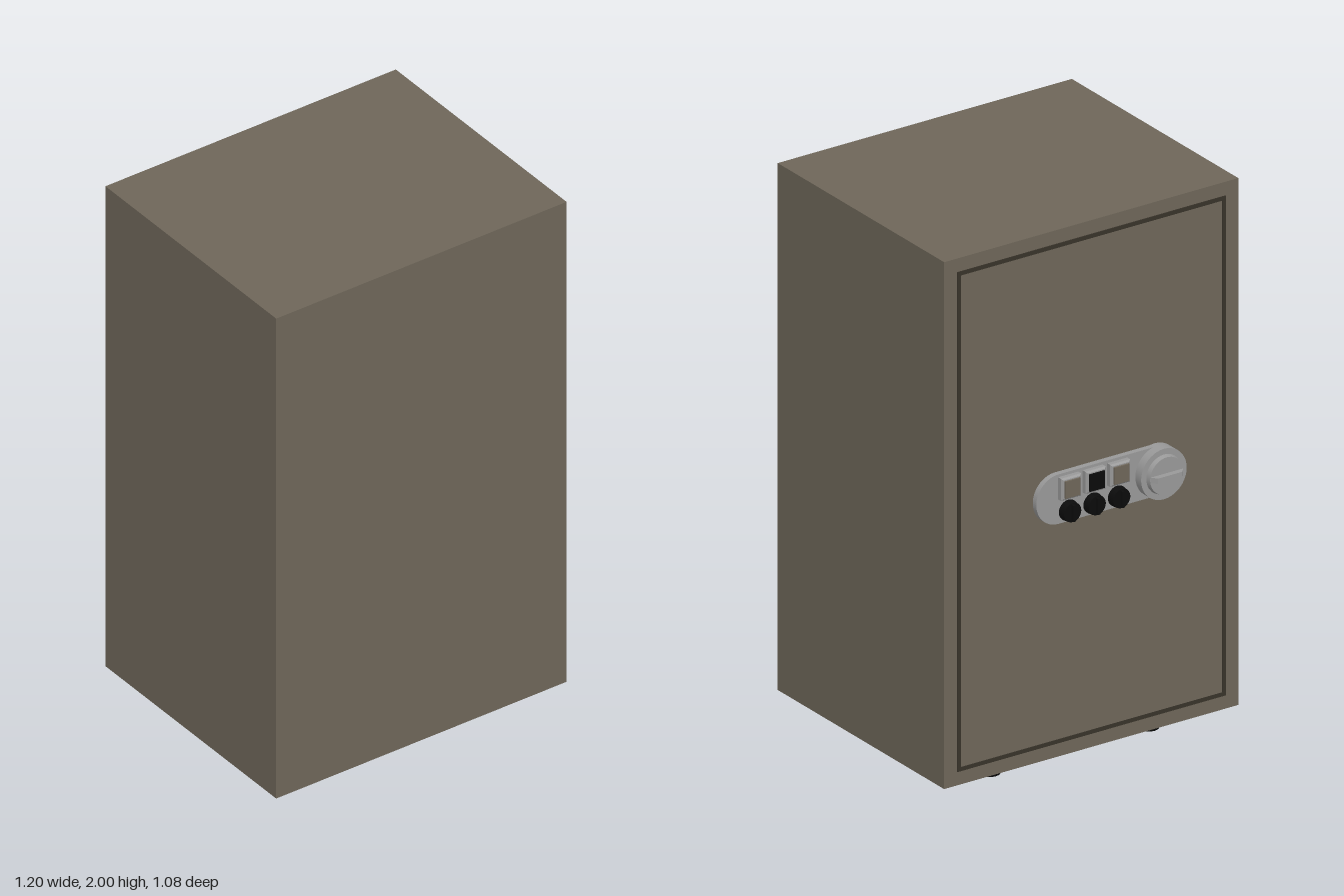
import * as THREE from 'three';

const mat = (name, color) => {
  const m = new THREE.MeshStandardMaterial({ color });
  m.name = name;
  return m;
};

// Rounded-end or rectangular outlines
function rect(w, h, Type = THREE.Shape) {
  const p = new Type();
  p.moveTo(-w / 2, -h / 2);
  p.lineTo(w / 2, -h / 2);
  p.lineTo(w / 2, h / 2);
  p.lineTo(-w / 2, h / 2);
  p.closePath();
  return p;
}
function capsule(x0, x1, r) {
  const s = new THREE.Shape();
  s.absarc(x1 - r, 0, r, -Math.PI / 2, Math.PI / 2, false);
  s.absarc(x0 + r, 0, r, Math.PI / 2, Math.PI * 1.5, false);
  s.closePath();
  return s;
}

export function createModel() {
  const model = new THREE.Group();
  model.name = 'safe';
  const paint = mat('brownPaint', 0x6e6659);
  const seam = mat('darkSeam', 0x38332a);
  const metal = mat('greyMetal', 0x999999);
  const black = mat('blackPlastic', 0x0b0b0b);

  function add(parent, name, geo, material, x = 0, y = 0, z = 0) {
    const m = new THREE.Mesh(geo, material);
    m.name = name;
    m.position.set(x, y, z);
    parent.add(m);
    return m;
  }
  const extrude = (shape, depth) =>
    new THREE.ExtrudeGeometry(shape, { depth, bevelEnabled: false, curveSegments: 20 });
  // Disc whose axis points along z, starting at z = 0
  const disc = (rBack, rFront, depth, n = 32) =>
    new THREE.CylinderGeometry(rFront, rBack, depth, n).rotateX(Math.PI / 2).translate(0, 0, depth / 2);

  // Cabinet
  add(model, 'cabinet', new THREE.BoxGeometry(1.2, 1.94, 0.98), paint, 0, 1.03, 0.047);

  // Tapered feet
  for (const x of [-0.325, 0.322]) for (const z of [-0.31, 0.33])
    add(model, 'foot', new THREE.CylinderGeometry(0.05, 0.037, 0.06, 20), black, x, 0.03, z);

  // Door side, built facing +z and turned to the rear
  const door = new THREE.Group();
  door.name = 'door';
  door.rotation.y = Math.PI;
  door.position.y = 1.03;
  model.add(door);
  const face = 0.443;

  // Seam around the door
  const ring = rect(1.096, 1.84);
  ring.holes.push(rect(1.066, 1.81, THREE.Path));
  add(door, 'doorSeam', extrude(ring, 0.003), seam, 0, 0, face);
  add(door, 'doorPanel', new THREE.BoxGeometry(1.066, 1.81, 0.002), paint, 0, 0, face + 0.001);

  // Lock plate
  const lock = new THREE.Group();
  lock.name = 'lock';
  lock.position.set(0, -0.01, face);
  door.add(lock);
  add(lock, 'lockPlate', extrude(capsule(-0.24, 0.35, 0.091), 0.023), metal);

  // Display squares above round knobs
  [-0.11, -0.01, 0.09].forEach((x, i) => {
    const frame = new THREE.ExtrudeGeometry(rect(0.07, 0.07), {
      depth: 0.016, bevelThickness: 0.006, bevelSize: 0.006, bevelSegments: 1
    });
    add(lock, 'displayFrame', frame, metal, x, 0.04, 0.023);
    add(lock, 'display', new THREE.BoxGeometry(0.062, 0.062, 0.008), i === 1 ? black : paint, x, 0.04, 0.048);
    add(lock, 'knob', disc(0.038, 0.035, 0.027, 24), black, x, -0.05, 0.023);
    add(lock, 'knobPointer', new THREE.BoxGeometry(0.01, 0.06, 0.011), black, x, -0.05, 0.055);
  });

  // Turning handle: housing, collar and a tapered grip
  const handle = new THREE.Group();
  handle.name = 'turnHandle';
  handle.position.set(0.257, 0, 0);
  lock.add(handle);
  add(handle, 'handleHousing', disc(0.093, 0.093, 0.057, 40), metal);
  add(handle, 'handleCollar', disc(0.072, 0.068, 0.017, 40), metal, 0, 0, 0.057);
  const side = new THREE.Shape();
  side.moveTo(-0.067, 0);
  side.lineTo(0.067, 0);
  side.lineTo(0.05, 0.022);
  side.lineTo(-0.05, 0.022);
  side.closePath();
  const grip = extrude(side, 0.02).translate(0, 0, -0.01).rotateX(Math.PI / 2);
  add(handle, 'handleGrip', grip, metal, 0, 0, 0.073);

  return model;
}
